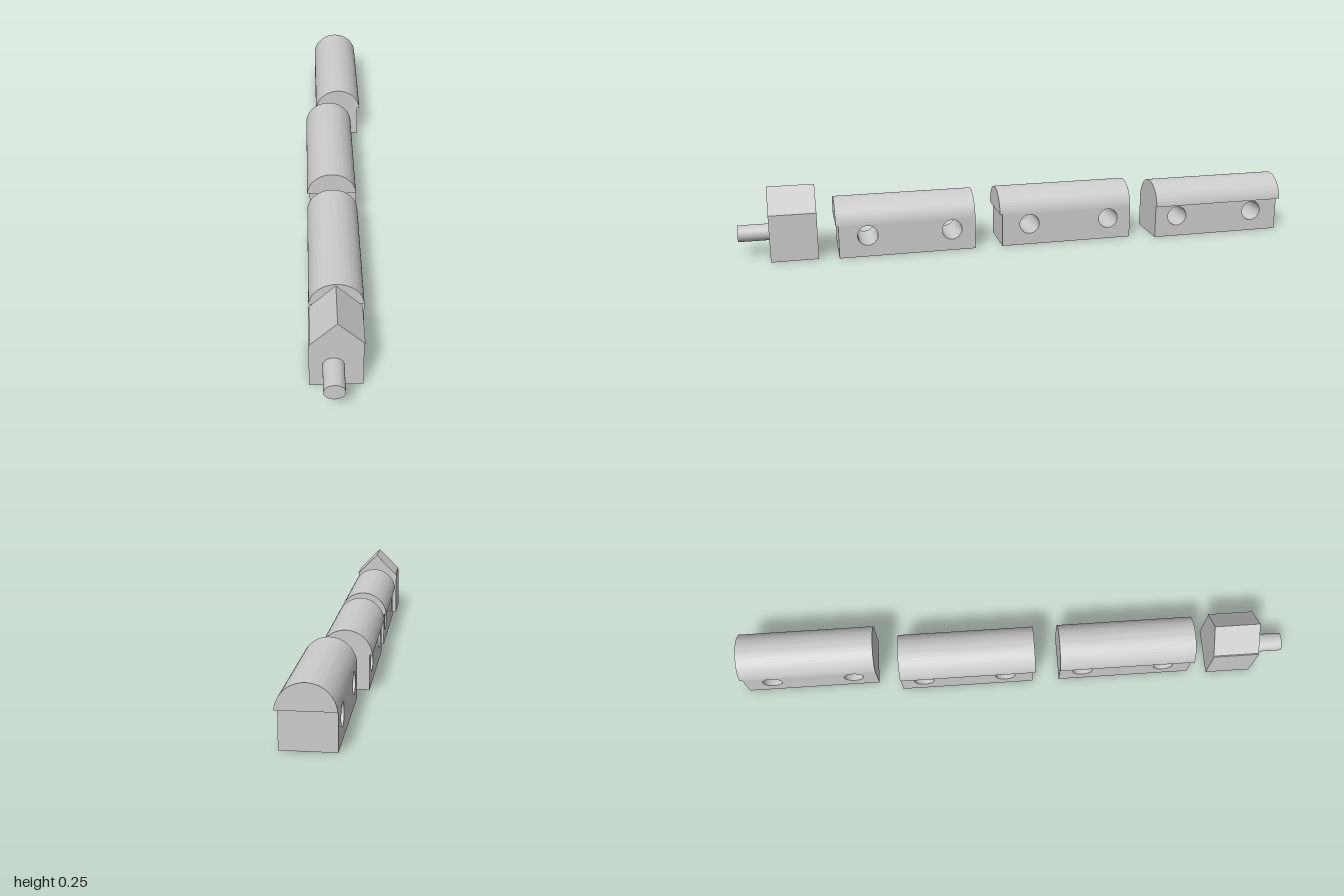
import * as THREE from 'three';
import { toCreasedNormals } from 'three/addons/utils/BufferGeometryUtils.js';

const material = new THREE.MeshStandardMaterial({ color: 0xcccccc });

function mesh(name, geometry, x = 0, y = 0, z = 0) {
  const m = new THREE.Mesh(geometry, material);
  m.name = name;
  m.position.set(x, y, z);
  return m;
}

function extrude(shape, depth) {
  const g = new THREE.ExtrudeGeometry(shape, { depth, bevelEnabled: false, curveSegments: 32 });
  return toCreasedNormals(g, 0.6);
}

// Wagon: flush end at z = 0 and flush side at x = 0, running to +z and -x.
function createWagon(name) {
  const wagon = new THREE.Group();
  wagon.name = name;
  const length = 0.486, width = 0.168, height = 0.119, overhang = 0.009;

  // Body side profile with two axle holes bored straight through
  const side = new THREE.Shape();
  side.moveTo(0, 0).lineTo(length, 0).lineTo(length, height).lineTo(0, height).closePath();
  for (const z of [0.085, 0.385]) {
    side.holes.push(new THREE.Path().absarc(z, 0.077, 0.036, 0, Math.PI * 2, true));
  }
  const body = mesh('wagonBody', extrude(side, width));
  body.rotation.y = -Math.PI / 2;
  wagon.add(body);

  // Rounded roof: a circle segment overhanging one side and one end
  const half = (width + overhang) / 2, rise = 0.082;
  const radius = (half * half + rise * rise) / (2 * rise);
  const start = Math.asin((radius - rise) / radius);
  const arch = new THREE.Shape();
  arch.absarc(0, rise - radius, radius, start, Math.PI - start, false);
  arch.closePath();
  wagon.add(mesh('wagonRoof', extrude(arch, length + overhang), -half, height, 0));
  return wagon;
}

function createEngine() {
  const engine = new THREE.Group();
  engine.name = 'engine';
  const depth = 0.164, back = 0.728;

  // Cab block
  engine.add(mesh('cab', new THREE.BoxGeometry(0.165, 0.169, depth), -0.0275, 0.0845, back + depth / 2));

  // Gabled roof, set slightly to one side of the cab
  const gable = new THREE.Shape();
  gable.moveTo(-0.082, 0).lineTo(0.082, 0).lineTo(0, 0.083).closePath();
  engine.add(mesh('cabRoof', extrude(gable, depth), -0.024, 0.169, back));

  // Slightly oval boiler sticking out of the front
  const boiler = mesh('boiler', new THREE.CylinderGeometry(1, 1, 0.118, 48), -0.036, 0.084, 0.941);
  boiler.rotation.x = Math.PI / 2;
  boiler.scale.set(0.033, 1, 0.029);
  engine.add(boiler);
  return engine;
}

export function createModel() {
  const train = new THREE.Group();
  train.name = 'train';
  train.add(createEngine());

  // Three wagons in line, the last one turned around
  const layout = [
    ['frontWagon', 0.068, 0.171, 0],
    ['middleWagon', 0.068, -0.415, 0],
    ['rearWagon', -0.068, -0.505, Math.PI],
  ];
  for (const [name, x, z, turn] of layout) {
    const wagon = createWagon(name);
    wagon.position.set(x, 0, z);
    wagon.rotation.y = turn;
    train.add(wagon);
  }
  return train;
}
